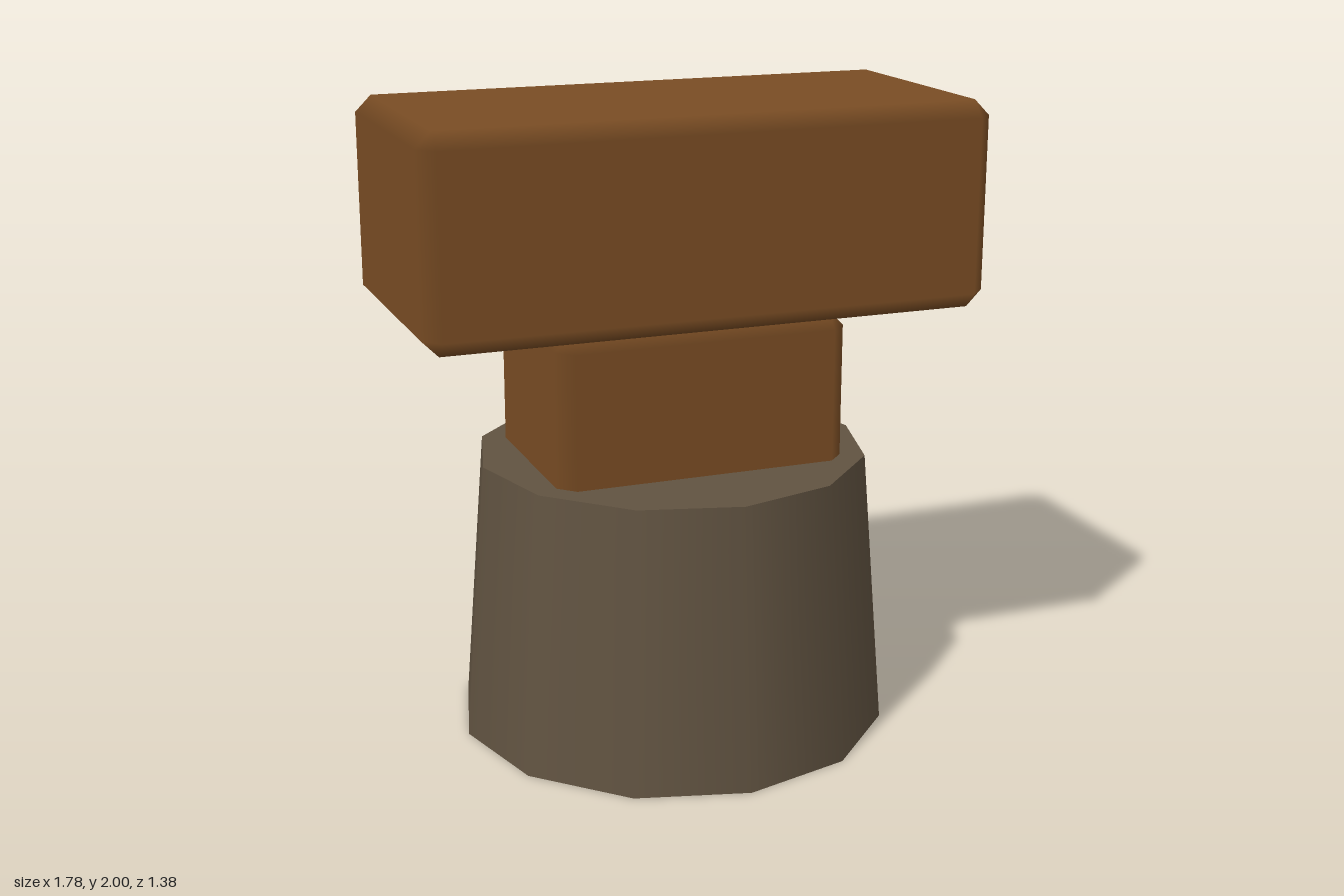
import * as THREE from 'three';
import { ConvexGeometry } from 'three/addons/geometries/ConvexGeometry.js';

// Box with a single chamfer on every edge; faces stay flat, chamfers blend between them.
function chamferBox(width, height, depth, bevel) {
  const half = [width / 2, height / 2, depth / 2];
  const points = [];
  for (let axis = 0; axis < 3; axis++) {
    for (const sx of [-1, 1]) for (const sy of [-1, 1]) for (const sz of [-1, 1]) {
      const p = [sx, sy, sz].map((s, i) => s * (half[i] - (i === axis ? 0 : bevel)));
      points.push(new THREE.Vector3(...p));
    }
  }
  const geometry = new ConvexGeometry(points);
  const { position, normal } = geometry.attributes;
  for (let i = 0; i < position.count; i++) {
    const p = [position.getX(i), position.getY(i), position.getZ(i)];
    const n = p.map((v, k) => (Math.abs(v) > half[k] - bevel / 2 ? Math.sign(v) : 0));
    normal.setXYZ(i, ...n);
  }
  return geometry;
}

export function createModel() {
  const wood = new THREE.MeshStandardMaterial({ color: 0x7a4d24 });
  wood.name = 'brown wood';
  const stone = new THREE.MeshStandardMaterial({ color: 0x615341 });
  stone.name = 'grey brown stone';

  const model = new THREE.Group();
  model.name = 'pedestalBlock';
  const add = (name, geometry, material, y) => {
    const mesh = new THREE.Mesh(geometry, material);
    mesh.name = name;
    mesh.position.y = y;
    model.add(mesh);
  };

  // Tapered twelve-sided base
  add('base', new THREE.CylinderGeometry(0.618, 0.69, 0.89, 12), stone, 0.445);
  // Neck, sunk into the base
  add('neck', chamferBox(0.934, 0.93, 0.638, 0.05), wood, 0.895);
  // Wide block on top
  add('head', chamferBox(1.776, 0.64, 0.842, 0.05), wood, 1.68);

  return model;
}
